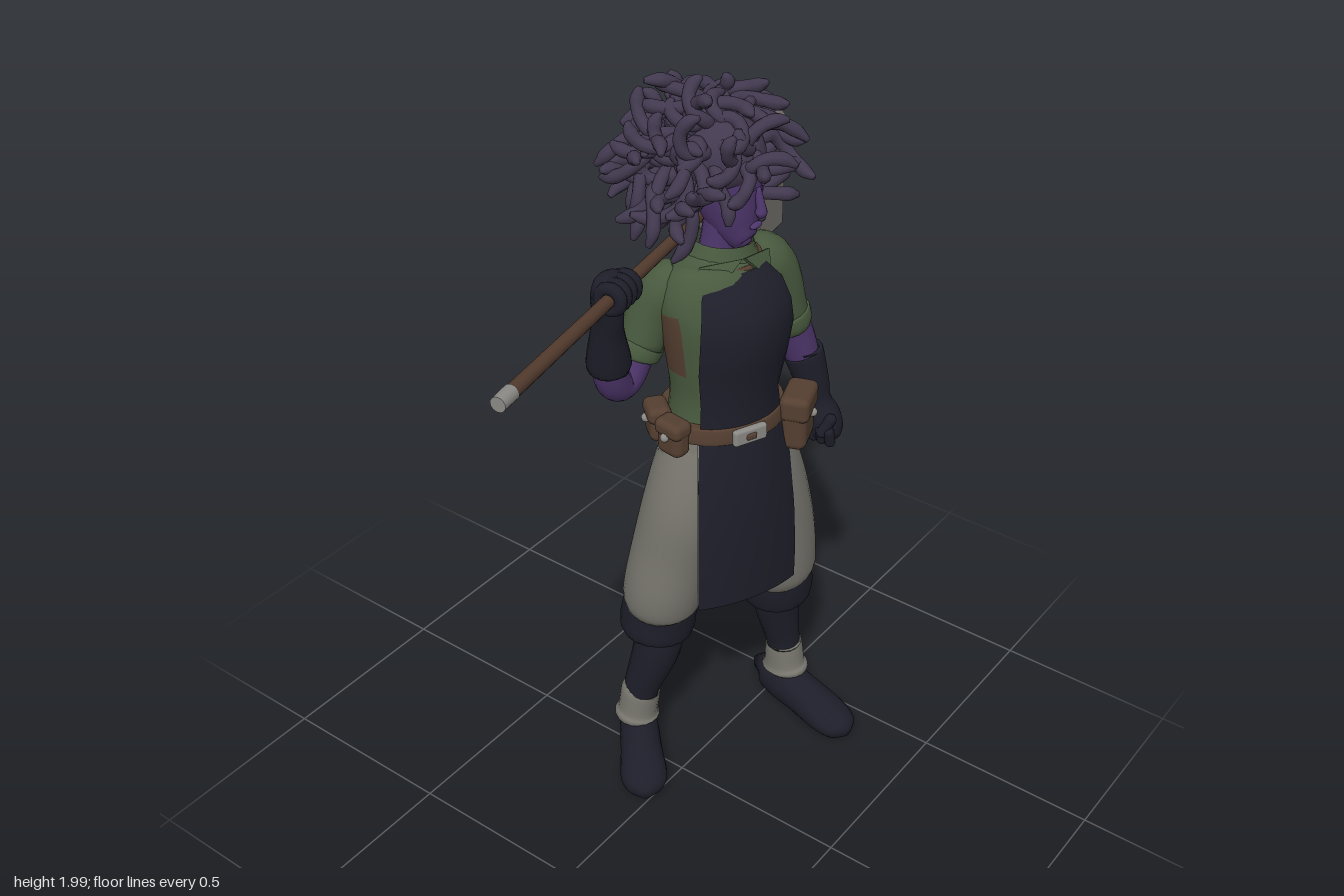
import * as THREE from 'three';
import { RoundedBoxGeometry } from 'three/addons/geometries/RoundedBoxGeometry.js';
import { ConvexGeometry } from 'three/addons/geometries/ConvexGeometry.js';

const V = (x, y, z) => new THREE.Vector3(x, y, z);
const paint = (name, color, extra = {}) => {
  const m = new THREE.MeshStandardMaterial({ color, ...extra });
  m.name = name;
  return m;
};
const both = { side: THREE.DoubleSide };
const navy = paint('navy leather', 0x1e1e2a, both), skin = paint('purple skin', 0x4e366c);
const hair = paint('violet hair', 0x42394f), green = paint('green shirt', 0x495a3f, both);
const grey = paint('grey cloth', 0x78766e, both), brown = paint('brown leather', 0x553f31);
const wood = paint('wood', 0x523a2d), stone = paint('stone', 0x74736e), silver = paint('silver', 0x8b8a86);

const mesh = (name, geo, mat, pos = [0, 0, 0], rot = [0, 0, 0]) => {
  const m = new THREE.Mesh(geo, mat);
  m.name = name;
  m.position.set(...pos);
  m.rotation.set(...rot);
  return m;
};

// Smooth limb through points [x, y, z, radius, second radius]; pick() gives a material index per quad
function limb(name, mat, pts, { ref = V(0, 0, 1), sides = 18, step = 4, pick = () => 0, caps = true, floor = -9 } = {}) {
  const curve = a => new THREE.CatmullRomCurve3(a, false, 'catmullrom', 0.5);
  const path = curve(pts.map(p => V(p[0], p[1], p[2])));
  const size = curve(pts.map(p => V(p[3], p[4] ?? p[3], 0)));
  const n = (pts.length - 1) * step, pos = [], faces = [[], []];
  for (let i = 0; i <= n; i++) {
    const c = path.getPoint(i / n), r = size.getPoint(i / n), t = path.getTangent(i / n);
    const u = ref.clone().cross(t).normalize(), v = t.clone().cross(u);
    for (let j = 0; j < sides; j++) {
      const a = j / sides * Math.PI * 2, mid = a + Math.PI / sides;
      const p = c.clone().addScaledVector(u, Math.cos(a) * r.x).addScaledVector(v, Math.sin(a) * r.y);
      pos.push(p.x, Math.max(floor, p.y), p.z);
      if (i === n) continue;
      const k = (j + 1) % sides, A = i * sides + j, B = i * sides + k;
      faces[pick((i + 0.5) / n, Math.cos(mid), Math.sin(mid))].push(A, B, A + sides, B, B + sides, A + sides);
    }
  }
  if (caps) for (const end of [0, n]) {
    const c = path.getPoint(end / n), id = pos.length / 3;
    pos.push(c.x, Math.max(floor, c.y), c.z);
    for (let j = 0; j < sides; j++) {
      const A = end * sides + j, B = end * sides + (j + 1) % sides;
      faces[0].push(id, end ? A : B, end ? B : A);
    }
  }
  const g = new THREE.BufferGeometry();
  g.setAttribute('position', new THREE.Float32BufferAttribute(pos, 3));
  g.setIndex([...faces[0], ...faces[1]]);
  g.addGroup(0, faces[0].length, 0);
  if (faces[1].length) g.addGroup(faces[0].length, faces[1].length, 1);
  g.computeVertexNormals();
  return mesh(name, g, mat);
}

// Cloth panel wrapped on ellipses: rows of [y, half width, ellipse rx, ellipse rz, centre z, centre x]
function panel(name, mat, rows, inset = 0) {
  const cols = 14, g = new THREE.PlaneGeometry(1, 1, cols, rows.length - 1), p = g.attributes.position;
  for (let i = 0; i < p.count; i++) {
    const [y, hw, rx, rz, cz = 0, cx = 0] = rows[Math.floor(i / (cols + 1))];
    const x = (i % (cols + 1) / cols * 2 - 1) * hw;
    p.setXYZ(i, x + cx, y, cz + rz * Math.sqrt(Math.max(0, 1 - (x / rx) ** 2)) - inset);
  }
  g.computeVertexNormals();
  return mesh(name, g, mat);
}

function pouch(name, w, h, d, pos, turn) {
  const g = new THREE.Group();
  g.name = name;
  g.add(mesh('pouchBody', new RoundedBoxGeometry(w, h, d, 3, 0.022), brown));
  g.add(mesh('pouchFlap', new RoundedBoxGeometry(w * 1.07, h * 0.45, d * 1.12, 3, 0.018), brown, [0, h * 0.28, 0.002]));
  g.add(mesh('pouchButton', new THREE.SphereGeometry(0.012, 10, 8), silver, [0, h * 0.1, d * 0.57]));
  g.position.set(...pos);
  g.rotation.y = turn;
  return g;
}

function makeBody() {
  const b = new THREE.Group();
  b.name = 'body';
  b.position.set(0.18, 0, -0.01);
  b.rotation.y = -0.4;
  b.add(limb('hips', grey, [[0, 0.84, 0, 0.06, 0.05], [0, 0.89, -0.003, 0.13, 0.105], [0, 1.0, -0.003, 0.172, 0.132], [0, 1.12, 0, 0.152, 0.118]], { sides: 28 }));
  b.add(limb('shirt', [green, brown], [[0, 1.1, 0, 0.15, 0.115], [0, 1.2, 0, 0.138, 0.106], [0, 1.3, 0, 0.15, 0.116],
    [0, 1.4, -0.005, 0.163, 0.128], [0, 1.47, -0.015, 0.163, 0.115], [0.01, 1.52, -0.03, 0.122, 0.09], [0.015, 1.555, -0.035, 0.065, 0.06]],
  { sides: 28, pick: (t, c) => (Math.abs(c) > 0.93 && t > 0.28 && t < 0.6 ? 1 : 0) }));
  // Apron: bib, skirt and its lining
  b.add(panel('apronBib', navy, [[1.535, 0.08, 0.12, 0.09, -0.02, 0.01], [1.5, 0.112, 0.16, 0.13, -0.02, 0.008], [1.45, 0.126, 0.178, 0.146, -0.005, 0.006],
    [1.39, 0.132, 0.175, 0.158, 0, 0.006], [1.3, 0.127, 0.165, 0.145, 0, 0.004], [1.2, 0.112, 0.152, 0.126], [1.1, 0.12, 0.17, 0.135]]));
  const skirt = [[1.13, 0.12, 0.17, 0.13], [1.0, 0.136, 0.2, 0.157], [0.85, 0.144, 0.24, 0.165], [0.72, 0.148, 0.27, 0.167], [0.615, 0.148, 0.28, 0.165]];
  b.add(panel('apronSkirt', navy, skirt));
  b.add(panel('apronLining', grey, skirt.map(r => [r[0] + 0.012, ...r.slice(1)]), 0.006));
  // Belt, buckle and pouches
  b.add(limb('belt', brown, [[0, 1.1, 0, 0.166, 0.134], [0, 1.105, 0, 0.171, 0.141], [0, 1.14, 0, 0.166, 0.138], [0, 1.145, 0, 0.16, 0.131]], { sides: 30 }));
  b.add(mesh('buckle', new RoundedBoxGeometry(0.095, 0.045, 0.02, 2, 0.008), silver, [-0.005, 1.122, 0.142]));
  b.add(mesh('buckleTongue', new RoundedBoxGeometry(0.03, 0.018, 0.02, 2, 0.006), brown, [-0.005, 1.122, 0.147]));
  b.add(pouch('leftPouch', 0.115, 0.155, 0.07, [0.172, 1.09, 0.088], 0.75));
  b.add(pouch('rightPouch', 0.08, 0.1, 0.055, [-0.166, 1.115, 0.045], -1.3));
  b.add(pouch('rearPouch', 0.08, 0.1, 0.055, [-0.162, 1.115, -0.04], -1.85));
  // Collar with two points
  b.add(limb('collar', green, [[0.015, 1.515, -0.035, 0.11, 0.09], [0.017, 1.55, -0.036, 0.088, 0.078], [0.02, 1.58, -0.037, 0.076, 0.07]], { caps: false }));
  const point = new THREE.Shape([[0, 0.03], [0.105, 0.035], [0.085, -0.04]].map(p => new THREE.Vector2(...p)));
  for (const s of [-1, 1]) {
    const flap = mesh('collarPoint', new THREE.ExtrudeGeometry(point, { depth: 0.009, bevelEnabled: false }), green, [0.015, 1.54, 0.074], [-0.5, s * 0.45, 0]);
    flap.scale.x = s;
    b.add(flap);
  }
  b.add(mesh('neckStrap', new THREE.TorusGeometry(0.094, 0.007, 8, 28), brown, [0.015, 1.535, -0.035], [Math.PI / 2, 0, 0]));
  return b;
}

// A leg: trousers with an inner patch between two depths, flared cuff, gaiter, ankle wrap and boot
function makeLeg(name, inner, [back, front], thigh, cuff, calf, wrap, foot, turn, toe) {
  const g = new THREE.Group();
  g.name = name;
  g.add(limb('trouserLeg', [grey, brown], thigh, { sides: 28, pick: (t, c, s) => (c * inner > 0 && s > back && s < front && t > 0.28 ? 1 : 0) }));
  g.add(limb('bootCuff', navy, cuff), limb('gaiter', navy, calf), limb('ankleWrap', grey, wrap));
  const boot = limb('boot', navy, [[0, 0.055, -0.068, 0.02, 0.045], [0, 0.058, -0.06, 0.043, 0.06], [0, 0.06, 0, 0.055, 0.066], [0, 0.052, 0.08, 0.058, 0.06],
    [0, 0.038, 0.17, 0.065, 0.048], [0, 0.028, toe - 0.025, 0.05, 0.036], [0, 0.022, toe, 0.012, 0.015]], { ref: V(0, 1, 0), floor: 0 });
  boot.position.set(...foot);
  boot.rotation.y = turn;
  g.add(boot);
  return g;
}

// Hammer carried across the shoulders
function makeHammer() {
  const h = new THREE.Group();
  h.name = 'hammer';
  h.position.set(0, 1.562, -0.113);
  h.rotation.y = 0.178;
  const rod = (name, r1, r2, a, b, mat) => h.add(mesh(name, new THREE.CylinderGeometry(r1, r2, b - a, 16), mat, [(a + b) / 2, 0, 0], [0, 0, -Math.PI / 2]));
  rod('handle', 0.014, 0.018, -0.62, 0.5, wood);
  rod('endFerrule', 0.02, 0.019, -0.65, -0.595, silver);
  rod('headCollar', 0.028, 0.022, 0.415, 0.47, stone);
  rod('headPin', 0.02, 0.028, 0.62, 0.652, stone);
  const [x, y, z] = [0.086, 0.174, 0.086], c = 0.014, cy = 0.025, pts = [];
  for (const a of [-1, 1]) for (const b of [-1, 1]) for (const d of [-1, 1])
    pts.push(V(a * x, b * (y - cy), d * (z - c)), V(a * (x - c), b * (y - cy), d * z), V(a * (x - 0.018), b * y, d * (z - 0.018)));
  h.add(mesh('hammerHead', new ConvexGeometry(pts), stone, [0.545, 0.004, 0]));
  // Gloved fingers around the handle
  for (let i = 0; i < 4; i++)
    h.add(mesh('grippingFinger', new THREE.TorusGeometry(0.028, 0.016, 8, 18), navy, [-0.162 + i * 0.025, 0, 0], [0, Math.PI / 2, 0]));
  return h;
}

function makeArms() {
  const g = new THREE.Group();
  g.name = 'arms';
  g.add(limb('leftSleeve', green, [[0.3, 1.5, -0.03, 0.05], [0.345, 1.475, -0.012, 0.068], [0.38, 1.42, 0.002, 0.067], [0.405, 1.34, 0.012, 0.061], [0.424, 1.285, 0.018, 0.056]]));
  g.add(limb('leftSleeveRoll', green, [[0.415, 1.31, 0.015, 0.056], [0.418, 1.3, 0.016, 0.063], [0.428, 1.27, 0.02, 0.061], [0.431, 1.262, 0.02, 0.05]]));
  g.add(limb('leftForearm', skin, [[0.42, 1.3, 0.018, 0.048], [0.455, 1.2, 0.03, 0.05], [0.475, 1.12, 0.05, 0.04]]));
  g.add(limb('leftGlove', navy, [[0.468, 1.165, 0.042, 0.045], [0.47, 1.158, 0.044, 0.053], [0.485, 1.07, 0.066, 0.044], [0.49, 1.02, 0.08, 0.036],
    [0.496, 0.975, 0.09, 0.048, 0.052], [0.502, 0.925, 0.098, 0.045, 0.052], [0.502, 0.89, 0.1, 0.015, 0.025]]));
  for (let i = 0; i < 4; i++)
    g.add(mesh('curledFinger', new THREE.CapsuleGeometry(0.015, 0.035, 4, 10), navy, [0.466, 0.932, 0.06 + i * 0.026], [0, 0, 0.25]));
  g.add(mesh('leftThumb', new THREE.CapsuleGeometry(0.016, 0.045, 4, 10), navy, [0.463, 0.965, 0.128], [0.4, 0, -0.3]));
  g.add(limb('rightSleeve', green, [[0.11, 1.5, -0.085, 0.05], [0.085, 1.48, -0.11, 0.062], [0.064, 1.41, -0.14, 0.062], [0.038, 1.32, -0.155, 0.056]]));
  g.add(limb('rightSleeveRoll', green, [[0.043, 1.335, -0.152, 0.053], [0.039, 1.327, -0.154, 0.06], [0.027, 1.3, -0.158, 0.058], [0.024, 1.293, -0.159, 0.047]]));
  g.add(limb('rightForearm', skin, [[0.035, 1.33, -0.155, 0.046], [0.0, 1.26, -0.163, 0.046], [-0.035, 1.24, -0.165, 0.044], [-0.07, 1.28, -0.16, 0.045], [-0.1, 1.38, -0.145, 0.038]]));
  g.add(limb('rightGlove', navy, [[-0.086, 1.328, -0.153, 0.045], [-0.089, 1.336, -0.152, 0.056], [-0.112, 1.43, -0.135, 0.042], [-0.124, 1.49, -0.12, 0.036],
    [-0.128, 1.545, -0.118, 0.048, 0.035], [-0.125, 1.59, -0.112, 0.045, 0.03], [-0.125, 1.605, -0.11, 0.015]]));
  return g;
}

function makeHead() {
  const g = new THREE.Group();
  g.name = 'head';
  g.add(limb('neck', skin, [[0.195, 1.5, -0.05, 0.05], [0.205, 1.56, -0.045, 0.046], [0.215, 1.65, -0.035, 0.048]]));
  g.add(limb('face', skin, [[0.22, 1.577, 0.03, 0.012], [0.22, 1.587, 0.018, 0.034, 0.036], [0.22, 1.635, -0.01, 0.058, 0.068], [0.22, 1.7, -0.03, 0.073, 0.089],
    [0.22, 1.78, -0.035, 0.075, 0.09], [0.22, 1.84, -0.045, 0.05, 0.06], [0.22, 1.86, -0.045, 0.015]], { sides: 24 }));
  g.add(limb('nose', skin, [[0.22, 1.735, 0.053, 0.009], [0.22, 1.69, 0.065, 0.012], [0.22, 1.672, 0.066, 0.016, 0.015], [0.22, 1.663, 0.06, 0.008]], { sides: 10 }));
  const lips = mesh('lips', new THREE.SphereGeometry(0.02, 12, 8), skin, [0.22, 1.635, 0.053]);
  lips.scale.set(1.1, 0.4, 0.5);
  g.add(lips);
  for (const s of [-1, 1]) g.add(mesh('brow', new THREE.CapsuleGeometry(0.007, 0.03, 4, 8), skin, [0.22 + s * 0.032, 1.742, 0.05], [0, s * 0.35, Math.PI / 2 + s * 0.25]));
  const scalp = mesh('scalp', new THREE.SphereGeometry(1, 24, 16), hair, [0.213, 1.8, -0.055]);
  scalp.scale.set(0.1, 0.1, 0.12);
  g.add(scalp);
  // Writhing locks spread evenly over the scalp, leaving the face open
  let seed = 11;
  const rnd = () => (seed = (seed * 16807) % 2147483647) / 2147483647;
  const count = 112;
  for (let i = 0; i < count; i++) {
    const y = 1 - 1.75 * (i + 0.5) / count, a = i * 2.39996, r = Math.sqrt(1 - y * y);
    const d = V(Math.cos(a) * r, y, Math.sin(a) * r);
    const len = 0.11 + rnd() * 0.08, amp = 0.03 + rnd() * 0.03, phase = rnd() * 6.28, turns = 3 + rnd() * 2.5;
    if (d.z > 0.2 && d.y < 0.08 && Math.abs(d.x) < 0.56) continue;
    const p = V(-d.z, 0.2, d.x).cross(d).normalize(), q = d.clone().cross(p), pts = [];
    for (let k = 0; k <= 8; k++) {
      const t = k / 8, w = amp * Math.min(1, t * 2);
      const c = d.clone().multiplyScalar(0.065 + len * t).addScaledVector(p, w * Math.sin(phase + t * turns)).addScaledVector(q, w * Math.cos(phase + t * turns));
      const rad = [0.015, 0.017, 0.017, 0.017, 0.016, 0.016, 0.016, 0.017, 0.007][k];
      pts.push([0.202 + c.x, Math.min(1.983, 1.788 + c.y * 0.92 - 0.03 * t * t), -0.085 + c.z, rad]);
    }
    g.add(limb('hairLock', hair, pts, { sides: 9, step: 3, ref: p }));
  }
  return g;
}

export function createModel() {
  const model = new THREE.Group();
  model.name = 'blacksmith';
  model.add(makeBody(), makeHead(), makeArms(), makeHammer());
  model.add(makeLeg('leftLeg', -1, [-0.6, 0.3],
    [[0.235, 1.08, 0.03, 0.09, 0.095], [0.258, 0.98, 0.038, 0.107, 0.112], [0.29, 0.86, 0.045, 0.115, 0.12], [0.33, 0.72, 0.055, 0.108, 0.115], [0.352, 0.6, 0.055, 0.11, 0.112], [0.362, 0.54, 0.052, 0.104, 0.106], [0.37, 0.51, 0.048, 0.08, 0.08]],
    [[0.368, 0.565, 0.05, 0.08], [0.37, 0.54, 0.05, 0.095], [0.375, 0.49, 0.046, 0.103, 0.1], [0.386, 0.43, 0.04, 0.099, 0.098], [0.388, 0.415, 0.04, 0.07]],
    [[0.385, 0.47, 0.04, 0.07], [0.4, 0.36, 0.035, 0.064], [0.42, 0.24, 0.045, 0.05], [0.427, 0.18, 0.05, 0.048]],
    [[0.423, 0.215, 0.05, 0.048], [0.424, 0.205, 0.05, 0.053], [0.426, 0.14, 0.053, 0.054, 0.06], [0.427, 0.12, 0.055, 0.06, 0.07], [0.427, 0.1, 0.055, 0.045]],
    [0.425, 0, 0.055], -0.17, 0.258));
  model.add(makeLeg('rightLeg', 1, [-0.2, 0.95],
    [[0.125, 1.08, -0.02, 0.09, 0.095], [0.105, 0.98, -0.033, 0.106, 0.11], [0.08, 0.86, -0.047, 0.112, 0.115], [0.06, 0.72, -0.075, 0.106, 0.11], [0.05, 0.6, -0.095, 0.11, 0.108], [0.053, 0.54, -0.107, 0.104, 0.102], [0.057, 0.51, -0.11, 0.08, 0.08]],
    [[0.056, 0.565, -0.11, 0.08], [0.057, 0.54, -0.112, 0.095], [0.06, 0.49, -0.122, 0.102], [0.058, 0.43, -0.13, 0.1], [0.058, 0.415, -0.13, 0.07]],
    [[0.06, 0.47, -0.115, 0.07], [0.045, 0.36, -0.12, 0.066], [0.022, 0.24, -0.15, 0.052], [0.015, 0.18, -0.16, 0.048]],
    [[0.018, 0.215, -0.155, 0.048], [0.017, 0.205, -0.157, 0.055], [0.012, 0.14, -0.164, 0.056], [0.01, 0.12, -0.166, 0.063], [0.01, 0.1, -0.166, 0.045]],
    [0.012, 0, -0.162], -0.83, 0.238));
  return model;
}
